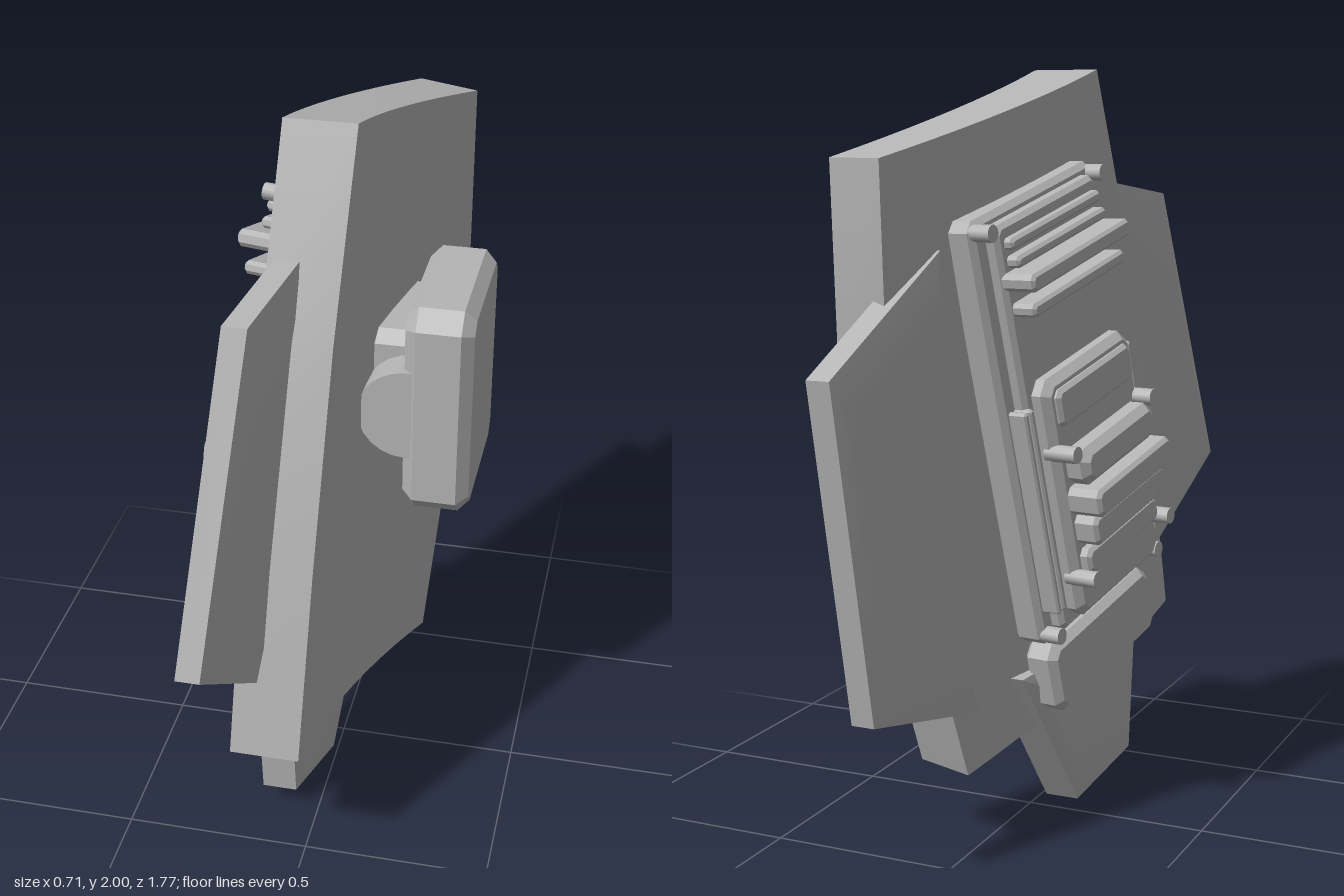
import * as THREE from 'three';
import { toCreasedNormals } from 'three/addons/utils/BufferGeometryUtils.js';

const V = (x, y, z) => new THREE.Vector3(x, y, z);

export function createModel() {
  const model = new THREE.Group();
  const grey = new THREE.MeshStandardMaterial({ color: 0xb4b4b4 });
  grey.name = 'plain grey';

  const add = (name, geometry, parent = model) => {
    const mesh = new THREE.Mesh(geometry, grey);
    mesh.name = name;
    parent.add(mesh);
    return mesh;
  };

  // Closed solid from rings of equal length, capped at both ends with quad strips
  const loft = (rings, crease = 0.5) => {
    const pos = [];
    const tri = (a, b, c) => pos.push(...a.toArray(), ...b.toArray(), ...c.toArray());
    const n = rings[0].length;
    for (let i = 0; i < rings.length - 1; i++) {
      for (let j = 0; j < n; j++) {
        const k = (j + 1) % n, a = rings[i], b = rings[i + 1];
        tri(a[j], a[k], b[k]);
        tri(a[j], b[k], b[j]);
      }
    }
    const cap = (r, flip) => {
      for (let j = 0; j < n / 2 - 1; j++) {
        const q = [r[j], r[j + 1], r[n - 2 - j], r[n - 1 - j]];
        if (flip) q.reverse();
        tri(q[0], q[1], q[2]);
        tri(q[0], q[2], q[3]);
      }
    };
    cap(rings[0], true);
    cap(rings[rings.length - 1], false);
    const g = new THREE.BufferGeometry();
    g.setAttribute('position', new THREE.Float32BufferAttribute(pos, 3));
    g.computeVertexNormals();
    return toCreasedNormals(g, crease);
  };

  // Curved main slab: four stations from bottom to top, bowed across
  const leading = [V(0.02, 0.44, 0.645), V(0.04, 0.95, 0.55), V(0.063, 1.52, 0.41), V(0.08, 2, 0.21)];
  const trailing = [V(0.18, 0.2, -0.3), V(0.218, 0.72, -0.48), V(0.238, 1.27, -0.6), V(0.235, 1.78, -0.63)];
  const steps = 10;
  const rings = leading.map((f, s) => {
    const outer = [], inner = [];
    for (let i = 0; i <= steps; i++) {
      const t = i / steps;
      const p = f.clone().lerp(trailing[s], t);
      p.x = f.x + (trailing[s].x - f.x) * Math.pow(t, 1.8);
      outer.push(p);
      inner.push(p.clone().add(V(-0.18 + 0.015 * t, 0, -0.06 * t)));
    }
    return [...outer, ...inner.reverse()];
  });
  add('mainSlab', loft(rings));

  // Edge plates: four-cornered outlines with a shallow bevel on both faces
  const edgePlate = (name, corners, thickness) => {
    const mid = corners.reduce((a, c) => a.add(c), V(0, 0, 0)).multiplyScalar(1 / corners.length);
    const layer = (dx, scale) => corners.map((c) => c.clone().sub(mid).multiplyScalar(scale).add(mid).add(V(dx, 0, 0)));
    add(name, loft([layer(0, 0.8), layer(0.012, 1), layer(thickness - 0.012, 1), layer(thickness, 0.8)], 0.35));
  };
  edgePlate('frontPlate', [V(-0.16, 1.66, 0.61), V(-0.225, 0.86, 0.89), V(-0.155, 0.605, 0.55), V(-0.105, 1.7, 0.33)], 0.085);
  edgePlate('rearPlate', [V(-0.03, 0.375, -0.36), V(0.06, 0.44, -0.75), V(0.085, 1.29, -0.885), V(0, 1.56, -0.5)], 0.085);
  edgePlate('lowerPlate', [V(-0.165, 0.46, 0.4), V(-0.165, 0.07, 0.36), V(-0.12, 0, 0.08), V(-0.08, 0.42, -0.2)], 0.118);

  // Block with cut corners and a chamfer all round: w along x, h along y, d along z
  const chamferBlock = (w, h, d, c) => {
    const x = w / 2 - c, y = h / 2 - c;
    const k = Math.min(c, x * 0.5, y * 0.5);
    const shape = new THREE.Shape([
      [x - k, -y], [x, k - y], [x, y - k], [x - k, y], [k - x, y], [-x, y - k], [-x, k - y], [k - x, -y],
    ].map(([a, b]) => new THREE.Vector2(a, b)));
    const g = new THREE.ExtrudeGeometry(shape, {
      depth: d - 2 * c, bevelEnabled: true, bevelSegments: 1, bevelSize: c, bevelThickness: c,
    });
    g.translate(0, 0, c - d / 2);
    return toCreasedNormals(g, 0.3);
  };

  // Mounting pad on the outer side, carried by a block and a round boss
  const pad = add('mountPad', chamferBlock(0.455, 0.59, 0.175, 0.03));
  pad.rotation.y = Math.PI / 2;
  pad.position.set(0.27, 1.195, -0.075);
  const block = add('mountBlock', chamferBlock(0.34, 0.36, 0.16, 0.02));
  block.rotation.y = Math.PI / 2;
  block.position.set(0.15, 1.195, -0.12);
  const boss = add('mountBoss', toCreasedNormals(new THREE.CylinderGeometry(0.125, 0.125, 0.4, 24), 0.6));
  boss.rotation.x = Math.PI / 2;
  boss.position.set(0.19, 1.195, -0.055);

  // Equipment on the inner side: local x = towards the front, y = up the slab, z = outward
  const gear = new THREE.Group();
  gear.name = 'innerEquipment';
  const up = V(0.06, 0.966, -0.25).normalize();
  const outward = V(-0.16, 0.24, 0.95).cross(up).normalize();
  gear.quaternion.setFromRotationMatrix(new THREE.Matrix4().makeBasis(up.clone().cross(outward), up, outward));
  gear.position.set(-0.1375, 1.14, -0.065);
  model.add(gear);

  // Each part: centre x and y, width, height, and its inner and outer level
  const part = (name, x, y, w, h, z0, z1, c = 0.01) => {
    add(name, chamferBlock(w, h, z1 - z0, c), gear).position.set(x, y, (z0 + z1) / 2);
  };
  // Stacked backing panels
  part('basePanel', 0, 0, 0.57, 1.15, -0.09, 0, 0.015);
  part('raisedPanel', 0, 0, 0.47, 1.1, -0.02, 0.035, 0.012);
  // Upper ribs and shelf
  part('upperRib', 0, 0.5, 0.42, 0.03, 0.02, 0.06, 0.008);
  part('upperRib', 0, 0.455, 0.42, 0.03, 0.02, 0.07, 0.008);
  part('upperShelf', 0, 0.41, 0.47, 0.045, 0.02, 0.12, 0.008);
  part('shelfBeam', 0, 0.335, 0.44, 0.035, 0.02, 0.1, 0.008);
  // Central module with stepped blocks
  part('modulePanel', 0, -0.19, 0.42, 0.66, 0.02, 0.085, 0.02);
  part('moduleHood', 0, 0.06, 0.36, 0.1, 0.07, 0.1);
  part('upperBlock', 0, -0.1, 0.36, 0.1, 0.07, 0.15, 0.02);
  part('middleBlock', 0, -0.19, 0.38, 0.075, 0.07, 0.18);
  part('lowerBlock', 0, -0.275, 0.36, 0.08, 0.07, 0.15);
  part('footBlock', 0, -0.365, 0.36, 0.07, 0.07, 0.115);
  // Side rails
  for (const x of [-0.255, -0.23, 0.23, 0.255]) part('sideRail', x, -0.2, 0.018, 0.56, -0.01, 0.05, 0.005);
  // Bottom box
  part('bottomBox', -0.01, -0.69, 0.52, 0.2, -0.09, 0.01, 0.02);

  // Round pegs at the panel and module corners
  const pegs = (x, ys, z) => {
    for (const y of ys) {
      for (const s of [-1, 1]) {
        const peg = add('peg', toCreasedNormals(new THREE.CylinderGeometry(0.022, 0.022, 0.09, 12), 0.6), gear);
        peg.rotation.x = Math.PI / 2;
        peg.position.set(s * x, y, z);
      }
    }
  };
  pegs(0.26, [-0.545, 0.545], 0);
  pegs(0.195, [-0.4, -0.05], 0.095);

  return model;
}
